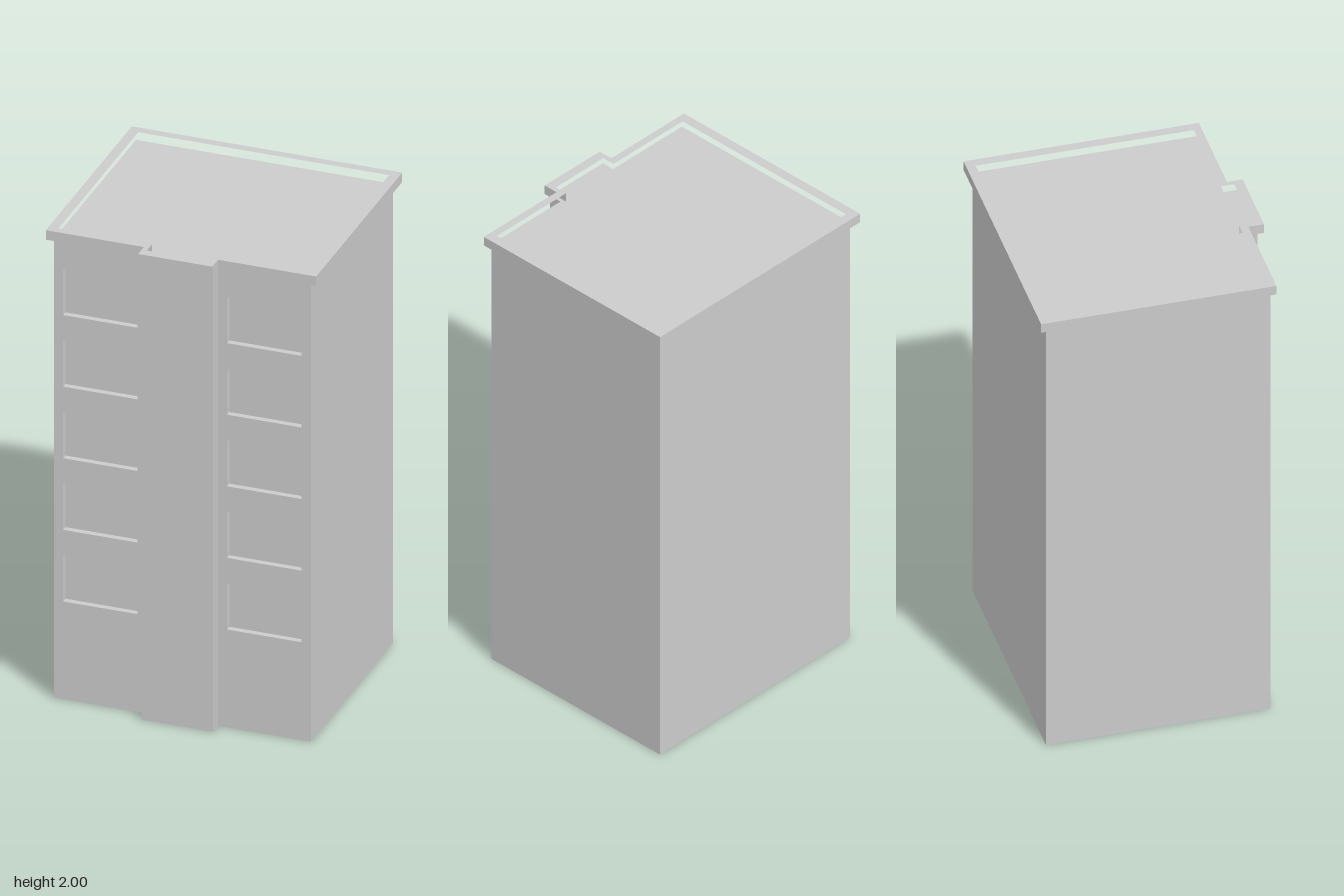
import * as THREE from 'three';

const material = new THREE.MeshStandardMaterial({ color: 0xcccccc, flatShading: true });

// T-shaped floor plan: main block with a narrow pier projecting at the front
function planPoints(halfWidth, back, front, pierHalf, pierFront) {
  return [
    [-halfWidth, back], [halfWidth, back], [halfWidth, front], [pierHalf, front],
    [pierHalf, pierFront], [-pierHalf, pierFront], [-pierHalf, front], [-halfWidth, front],
  ].map(([x, z]) => new THREE.Vector2(x, -z));
}

// Extrude a plan shape upward from y = bottom
function extrudeUp(shape, bottom, height) {
  const geometry = new THREE.ExtrudeGeometry(shape, { depth: height, bevelEnabled: false });
  geometry.rotateX(-Math.PI / 2);
  geometry.translate(0, bottom, 0);
  return geometry;
}

function rectPath(Type, x0, y0, x1, y1) {
  return new Type([[x0, y0], [x1, y0], [x1, y1], [x0, y1]].map(([x, y]) => new THREE.Vector2(x, y)));
}

export function createModel() {
  const model = new THREE.Group();
  model.name = 'apartmentBlock';
  const add = (name, geometry) => {
    const mesh = new THREE.Mesh(geometry, material);
    mesh.name = name;
    model.add(mesh);
  };

  const wallTop = 1.96, wallFront = 0.418, recess = 0.025;
  const halfWidth = 0.523, pierHalf = 0.145;

  // Core with the central pier; its front also forms the window panes
  const core = new THREE.Shape(planPoints(halfWidth, -0.47, wallFront - recess, pierHalf, 0.472));
  add('towerCore', extrudeUp(core, 0, wallTop));

  // Front wall on each side of the pier, pierced by five windows
  for (const side of [-1, 1]) {
    const span = (a, b) => (side > 0 ? [a, b] : [-b, -a]);
    const [x0, x1] = span(pierHalf, halfWidth);
    const wall = rectPath(THREE.Shape, x0, 0, x1, wallTop);
    const [w0, w1] = span(0.182, 0.485);
    for (let floor = 0; floor < 5; floor++) {
      const sill = 0.418 + floor * 0.306;
      wall.holes.push(rectPath(THREE.Path, w0, sill, w1, sill + 0.197));
    }
    const geometry = new THREE.ExtrudeGeometry(wall, { depth: recess, bevelEnabled: false });
    geometry.translate(0, 0, wallFront - recess);
    add(side > 0 ? 'leftWindowWall' : 'rightWindowWall', geometry);
  }

  // Overhanging parapet ring around the sunken roof
  const parapet = new THREE.Shape(planPoints(0.55, -0.497, 0.433, 0.151, 0.495));
  parapet.holes.push(new THREE.Path(planPoints(0.51, -0.46, 0.402, 0.13, 0.456)));
  add('roofParapet', extrudeUp(parapet, wallTop, 2 - wallTop));

  return model;
}
